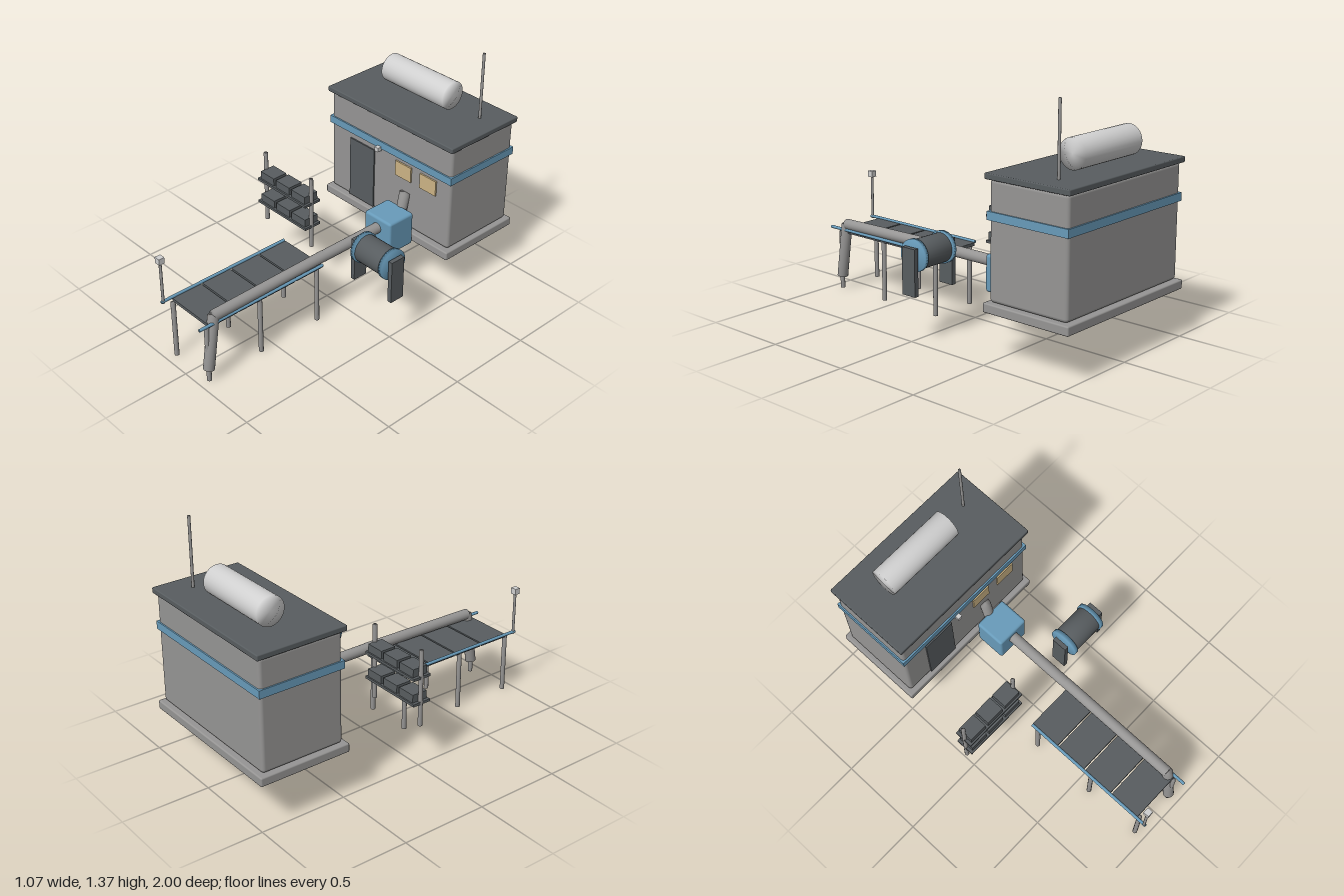
import * as THREE from 'three';
import { mergeVertices } from 'three/addons/utils/BufferGeometryUtils.js';
import { RoundedBoxGeometry } from 'three/addons/geometries/RoundedBoxGeometry.js';

const mat = (name, color) => {
  const m = new THREE.MeshStandardMaterial({ color });
  m.name = name;
  return m;
};

export function createModel() {
  const wall = mat('wall grey', 0x969594);
  const dark = mat('dark slate', 0x585d60);
  const blue = mat('trim blue', 0x689bba);
  const glass = mat('window tan', 0xccb485);
  const pale = mat('pale metal', 0xd0d0d0);

  const root = new THREE.Group();
  root.name = 'workshop';
  const group = (name) => {
    const g = new THREE.Group();
    g.name = name;
    root.add(g);
    return g;
  };
  const add = (parent, name, geo, m) => {
    const mesh = new THREE.Mesh(geo, m);
    mesh.name = name;
    parent.add(mesh);
    return mesh;
  };

  // Box from its min and max corners, with an optional edge radius
  const box = (parent, name, m, [x0, y0, z0], [x1, y1, z1], r = 0) => {
    const s = [x1 - x0, y1 - y0, z1 - z0];
    const geo = r ? new RoundedBoxGeometry(...s, 2, r) : new THREE.BoxGeometry(...s);
    add(parent, name, geo, m).position.set((x0 + x1) / 2, (y0 + y1) / 2, (z0 + z1) / 2);
  };

  // Cylinder between two points, shaded smoothly over its rims
  const rod = (parent, name, m, a, b, r, sides = 24) => {
    const p = new THREE.Vector3(...a), q = new THREE.Vector3(...b);
    const dir = q.clone().sub(p);
    let geo = new THREE.CylinderGeometry(r, r, dir.length(), sides);
    geo.deleteAttribute('uv');
    geo.deleteAttribute('normal');
    geo = mergeVertices(geo);
    geo.computeVertexNormals();
    const mesh = add(parent, name, geo, m);
    mesh.position.copy(p).add(q).multiplyScalar(0.5);
    mesh.quaternion.setFromUnitVectors(new THREE.Vector3(0, 1, 0), dir.normalize());
  };

  // Building
  const house = group('building');
  box(house, 'base', wall, [-0.508, 0.262, -1], [0.468, 0.313, -0.463], 0.008);
  box(house, 'walls', wall, [-0.485, 0.315, -0.975], [0.447, 0.945, -0.489], 0.02);
  box(house, 'stripe', blue, [-0.493, 0.738, -0.983], [0.455, 0.783, -0.48]);
  box(house, 'roof', dark, [-0.5, 0.942, -0.992], [0.462, 0.974, -0.468], 0.006);
  box(house, 'door', dark, [-0.327, 0.324, -0.49], [-0.132, 0.703, -0.481]);
  for (const x of [0.038, 0.226])
    box(house, 'window', glass, [x, 0.622, -0.489], [x + 0.12, 0.714, -0.48]);
  box(house, 'doorLamp', pale, [-0.103, 0.725, -0.484], [-0.076, 0.751, -0.455]);
  rod(house, 'roofTank', pale, [-0.302, 1.064, -0.778], [0.168, 1.064, -0.778], 0.082, 32);
  rod(house, 'antenna', wall, [0.332, 0.96, -0.825], [0.332, 1.366, -0.825], 0.008, 12);

  // Storage rack
  const rack = group('rack');
  for (const x of [-0.525, -0.145])
    rod(rack, 'rackPost', wall, [x, 0.262, -0.015], [x, 0.703, -0.015], 0.0125, 12);
  for (const y of [0.392, 0.541]) {
    box(rack, 'shelf', dark, [-0.535, y, -0.07], [-0.133, y + 0.015, 0.04]);
    for (const x of [-0.518, -0.388, -0.258])
      box(rack, 'crate', dark, [x, y + 0.015, -0.062], [x + 0.111, y + 0.061, 0.031]);
  }

  // Drum between two stands
  const drum = group('drum');
  const dy = 0.47, dz = -0.015;
  rod(drum, 'drumBody', dark, [0.275, dy, dz], [0.483, dy, dz], 0.08, 32);
  for (const x of [0.263, 0.472])
    rod(drum, 'drumRim', blue, [x, dy, dz], [x + 0.025, dy, dz], 0.088, 32);
  for (const x of [0.225, 0.506])
    box(drum, 'drumStand', dark, [x, 0.262, dz - 0.045], [x + 0.026, 0.519, dz + 0.045]);

  // Pump housing and pipework
  const pump = group('pipework');
  box(pump, 'pumpHousing', blue, [0.02, 0.264, -0.449], [0.222, 0.468, -0.266], 0.015);
  rod(pump, 'wallPipe', wall, [0.12, 0.36, -0.44], [0.12, 0.542, -0.48], 0.031);
  rod(pump, 'rearPipe', wall, [0.12, 0.402, -0.3], [0.12, 0.402, 0.14], 0.031);
  rod(pump, 'longPipe', wall, [0.12, 0.404, 0.135], [0.12, 0.394, 0.888], 0.031);
  rod(pump, 'spout', wall, [0.12, 0.395, 0.888], [0.12, 0.075, 0.935], 0.031);

  // Conveyor table
  const table = group('conveyor');
  for (let i = 0; i < 4; i++) {
    const z = 0.155 + i * 0.196;
    box(table, 'tablePanel', dark, [-0.17, 0.344, z], [0.134, 0.362, z + 0.186]);
  }
  for (const x of [-0.178, 0.14])
    rod(table, 'rail', blue, [x, 0.365, 0.16], [x, 0.365, 0.995], 0.009, 12);
  for (const x of [-0.159, 0.12])
    for (const z of [0.185, 0.585, 0.936])
      rod(table, 'tableLeg', wall, [x, 0, z], [x, 0.346, z], 0.0135, 12);

  // Signal post at the end of the table
  rod(table, 'signalPost', wall, [-0.178, 0.355, 0.983], [-0.178, 0.615, 0.983], 0.008, 12);
  box(table, 'signalLamp', pale, [-0.196, 0.609, 0.966], [-0.161, 0.645, 1]);

  return root;
}
